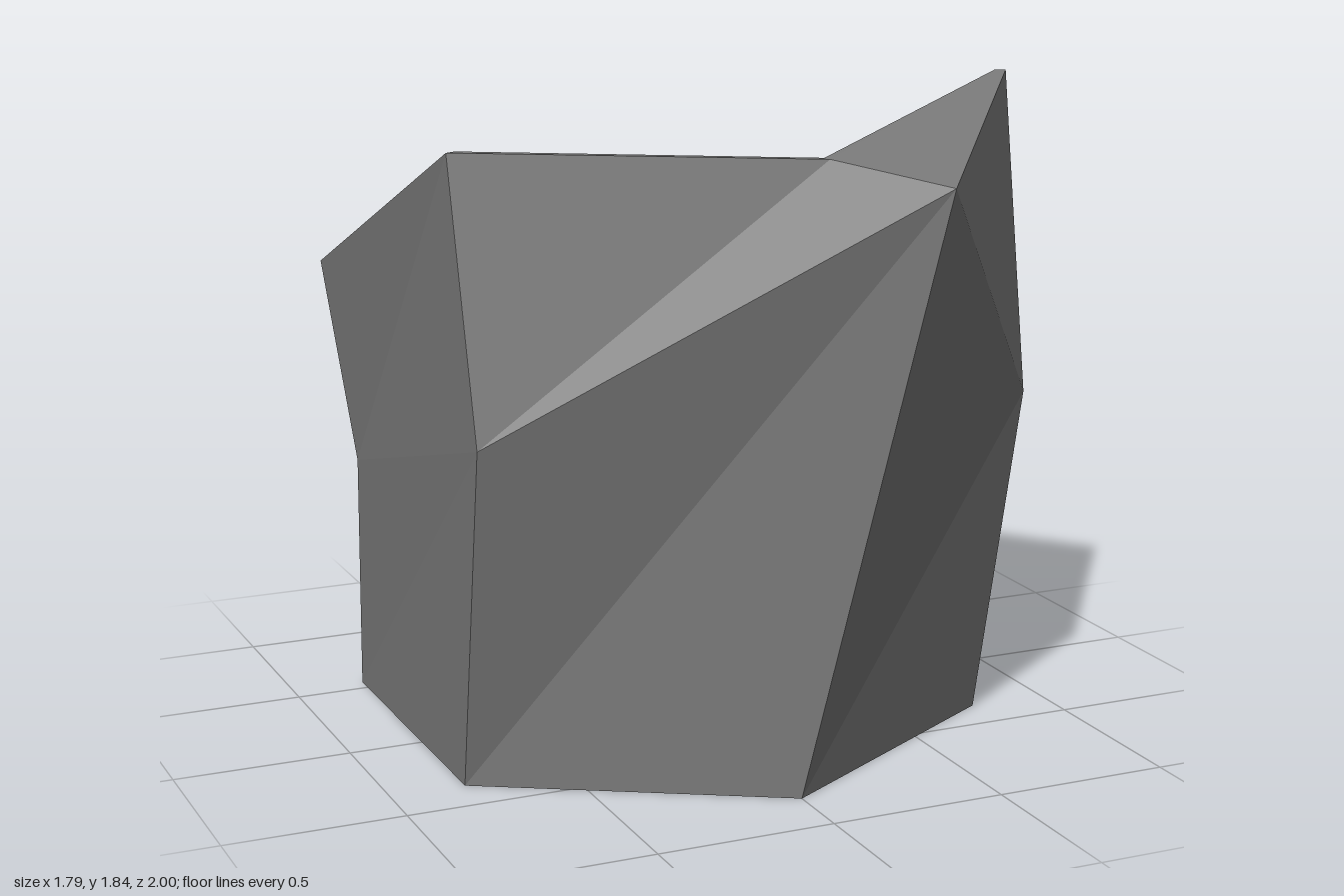
import * as THREE from 'three';

// Six corners per ring, starting at the front and turning towards +x
const BASE = [[0, 0, 0.81], [0.775, 0, 0.36], [0.775, 0, -0.55], [0, 0, -1], [-0.79, 0, -0.55], [-0.79, 0, 0.36]];
const WAIST = [[0.32, 1.65, 1], [0.825, 0.97, 0.51], [0.805, 0.72, -0.42], [-0.035, 0.6, -0.865], [-0.835, 0.73, -0.39], [-0.81, 0.98, 0.56]];
const RIM = [[0.07, 1.71, 0.79], [0.895, 1.835, 0.245], [0.81, 1.27, -0.61], [-0.08, 1.07, -0.99], [-0.9, 1.3, -0.48], [-0.83, 1.73, 0.42]];

// Inner copy of a ring, drawn in by the wall thickness
const inset = (ring, lift = 0) => ring.map(([x, y, z]) => [x * 0.965, y + lift, z * 0.965]);

// Faceted band between two rings; flip turns it inwards
function band(lower, upper, flip = false) {
  const out = [];
  const tri = (a, b, c) => out.push(...a, ...(flip ? c : b), ...(flip ? b : c));
  for (let i = 0; i < 6; i++) {
    const j = (i + 1) % 6;
    tri(lower[i], lower[j], upper[j]);
    tri(lower[i], upper[j], upper[i]);
  }
  return out;
}

// Flat hexagon filling a ring
function cap(ring, up) {
  const out = [];
  for (let i = 1; i < 5; i++) {
    out.push(...ring[0], ...(up ? ring[i] : ring[i + 1]), ...(up ? ring[i + 1] : ring[i]));
  }
  return out;
}

export function createModel() {
  const group = new THREE.Group();
  group.name = 'facetedPot';
  const stone = new THREE.MeshStandardMaterial({ color: 0x7a7a7a });
  stone.name = 'stone grey';

  const add = (name, positions) => {
    const geometry = new THREE.BufferGeometry();
    geometry.setAttribute('position', new THREE.Float32BufferAttribute(positions, 3));
    geometry.computeVertexNormals();
    const mesh = new THREE.Mesh(geometry, stone);
    mesh.name = name;
    group.add(mesh);
  };

  const innerBase = inset(BASE, 0.03);
  const innerWaist = inset(WAIST);
  const innerRim = inset(RIM);

  // Outer shell
  add('outerLowerWall', band(BASE, WAIST));
  add('outerUpperWall', band(WAIST, RIM));
  add('underside', cap(BASE, false));
  // Lip and hollow interior
  add('rim', band(RIM, innerRim));
  add('innerUpperWall', band(innerWaist, innerRim, true));
  add('innerLowerWall', band(innerBase, innerWaist, true));
  add('innerFloor', cap(innerBase, true));

  return group;
}
